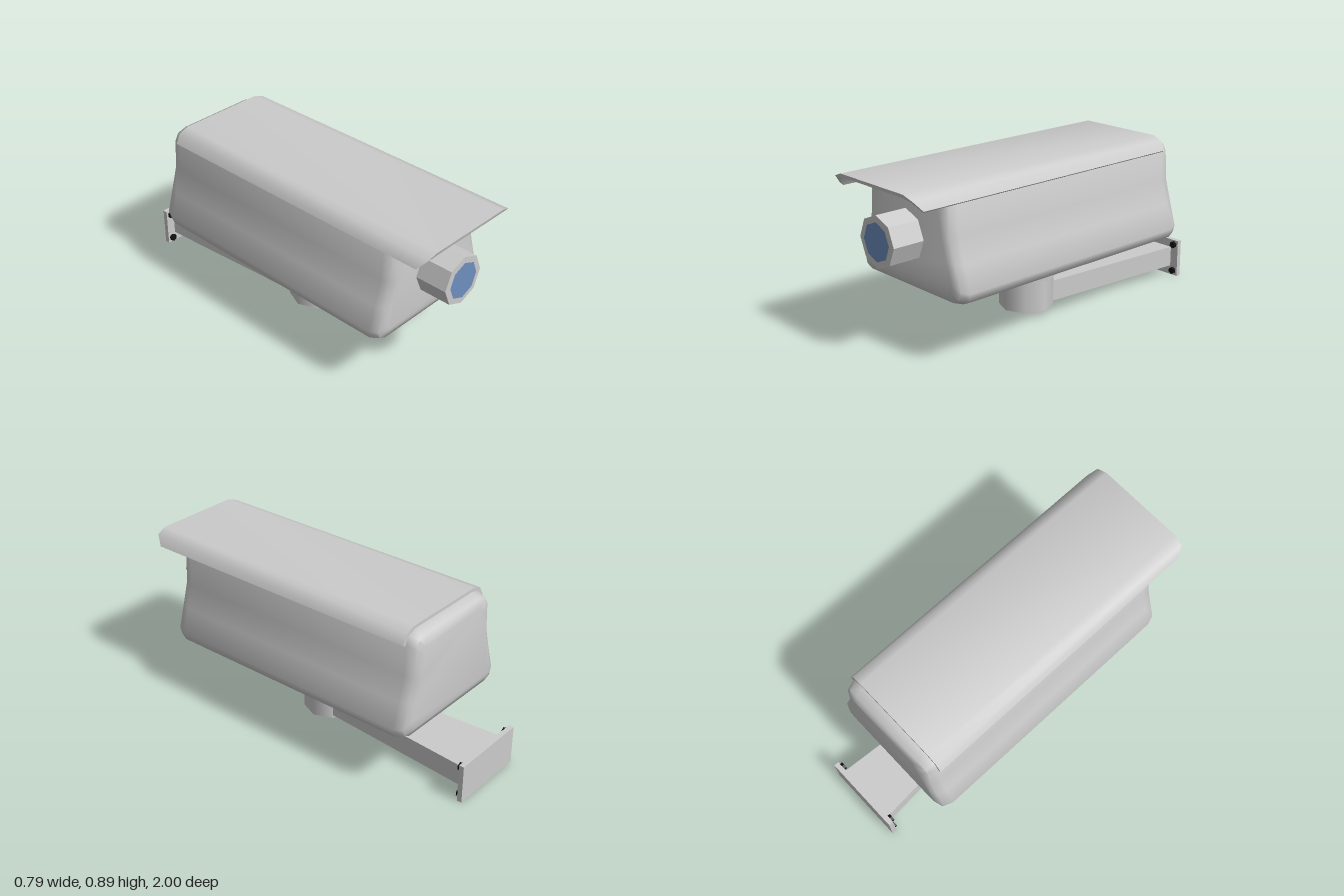
import * as THREE from 'three';
import { toCreasedNormals } from 'three/addons/utils/BufferGeometryUtils.js';

const material = (color, extra = {}) => new THREE.MeshStandardMaterial({ color, ...extra });

// Mirror a right-hand half outline (bottom to top) into a full counter-clockwise outline
const mirrored = (half) => [...half, ...half.slice().reverse().map(([x, y]) => [-x, y])];

// Skin closed rings of equal length, ordered back to front, and cap both ends
function loft(rings) {
  const n = rings[0].length;
  const positions = rings.flat(2);
  const index = [];
  for (let r = 0; r < rings.length - 1; r++) {
    for (let i = 0; i < n; i++) {
      const a = r * n + i, b = r * n + (i + 1) % n;
      index.push(a, b, b + n, a, b + n, a + n);
    }
  }
  const last = (rings.length - 1) * n;
  const outline = rings[0].map(([x, y]) => new THREE.Vector2(x, y));
  for (const [a, b, c] of THREE.ShapeUtils.triangulateShape(outline, [])) {
    index.push(a, c, b, last + a, last + b, last + c);
  }
  const geometry = new THREE.BufferGeometry();
  geometry.setAttribute('position', new THREE.Float32BufferAttribute(positions, 3));
  geometry.setIndex(index);
  return toCreasedNormals(geometry, 0.95);
}

export function createModel() {
  const model = new THREE.Group();
  const grey = material(0xcccccc);
  const flatGrey = material(0xcccccc, { flatShading: true });

  const add = (name, geometry, mat, x = 0, y = 0, z = 0) => {
    const mesh = new THREE.Mesh(geometry, mat);
    mesh.name = name;
    mesh.position.set(x, y, z);
    model.add(mesh);
    return mesh;
  };

  // Housing: flared section with softened front and back rims
  const section = mirrored([
    [0.34, 0.325], [0.383, 0.345], [0.395, 0.39], [0.355, 0.525], [0.318, 0.655],
    [0.308, 0.82], [0.285, 0.86], [0.23, 0.878],
  ]);
  const housingRing = (z, inset) => section.map(([x, y]) =>
    [x * (1 - inset / 0.36), 0.6 + (y - 0.6) * (1 - inset / 0.277), z]);
  add('housing', loft([
    housingRing(-0.763, 0.055), housingRing(-0.745, 0.015), housingRing(-0.695, 0),
    housingRing(0.74, 0), housingRing(0.787, 0.015), housingRing(0.805, 0.055),
  ]), grey);

  // Sun visor: thin bent sheet whose front edge sweeps back at the sides
  const visorOutline = [
    [0.33, 0.823], [0.303, 0.874], [0.246, 0.895], [-0.246, 0.895], [-0.303, 0.874], [-0.33, 0.823],
    [-0.314, 0.813], [-0.286, 0.862], [-0.238, 0.877], [0.238, 0.877], [0.286, 0.862], [0.314, 0.813],
  ];
  const visorFront = (y) => 1 - Math.max(0, 0.882 - y) * 0.85;
  add('visor', loft([
    visorOutline.map(([x, y]) => [x, y, -0.693]),
    visorOutline.map(([x, y]) => [x, y, visorFront(y)]),
  ]), grey);

  // Lens barrel and glass
  const barrel = new THREE.CylinderGeometry(0.134, 0.134, 0.2, 8).rotateX(Math.PI / 2);
  add('lensBarrel', barrel, flatGrey, 0, 0.605, 0.88);
  add('lensGlass', new THREE.CircleGeometry(0.1, 8), material(0x6f8fbf), 0, 0.605, 0.983);

  // Swivel mount under the housing
  add('swivelCollar', new THREE.CylinderGeometry(0.173, 0.173, 0.125, 8), flatGrey, 0, 0.2775, 0.022);
  add('swivelPost', new THREE.CylinderGeometry(0.147, 0.147, 0.18, 8), grey, 0, 0.125, 0.022);

  // Wall arm, widening toward the plate
  const armRing = (z, w) => [[w, 0.053, z], [w, 0.168, z], [-w, 0.168, z], [-w, 0.053, z]];
  add('wallArm', loft([armRing(-0.975, 0.172), armRing(-0.08, 0.104)]), grey);

  // Wall plate with four hexagonal bolts
  add('wallPlate', new THREE.BoxGeometry(0.444, 0.214, 0.027), grey, 0, 0.107, -0.9865);
  const boltGeometry = new THREE.CylinderGeometry(0.021, 0.021, 0.016, 6).rotateX(Math.PI / 2);
  const black = material(0x111111, { flatShading: true });
  for (const x of [-0.193, 0.193]) {
    for (const y of [0.029, 0.188]) add('plateBolt', boltGeometry, black, x, y, -0.966);
  }

  return model;
}
